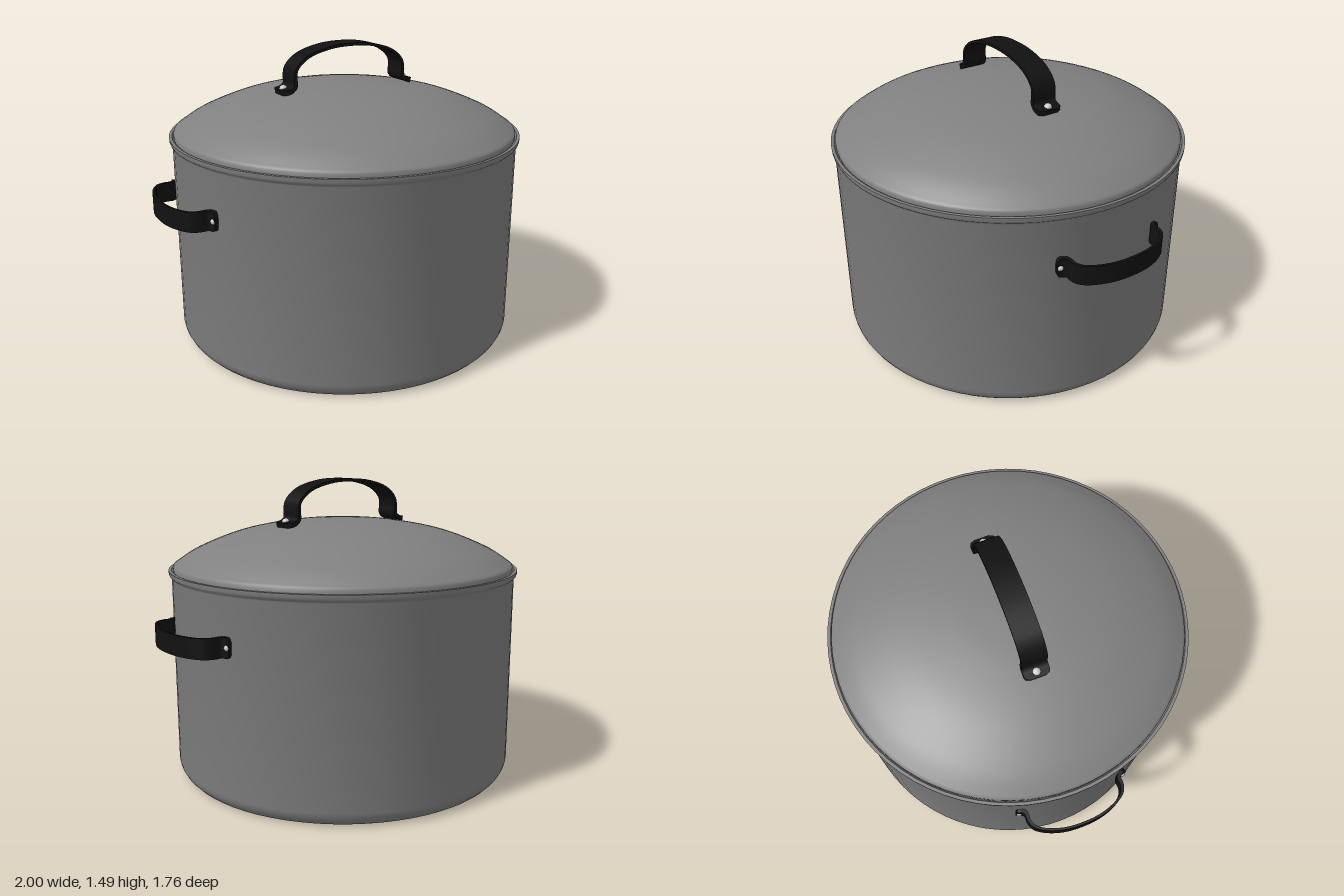
import * as THREE from 'three';
import { toCreasedNormals } from 'three/addons/utils/BufferGeometryUtils.js';

const steel = new THREE.MeshStandardMaterial({ color: 0x808080, side: THREE.DoubleSide });
const black = new THREE.MeshStandardMaterial({ color: 0x111111 });
const rivetGrey = new THREE.MeshStandardMaterial({ color: 0xcccccc });

function named(name, geometry, material) {
  const mesh = new THREE.Mesh(geometry, material);
  mesh.name = name;
  return mesh;
}

function lathe(name, points) {
  const profile = points.map(([r, y]) => new THREE.Vector2(r, y));
  return named(name, toCreasedNormals(new THREE.LatheGeometry(profile, 72), 0.6), steel);
}

// Flat strap bent along a mirrored path; half lists points from the foot to the middle
function strapHandle(name, half, width, thickness, rivet) {
  const right = half.slice(0, -1).map(([x, y]) => [-x, y]).reverse();
  const curve = new THREE.CatmullRomCurve3(
    [...half, ...right].map(([x, y]) => new THREE.Vector3(x, y, 0)));
  curve.arcLengthDivisions = 600;
  const length = curve.getLength();
  const geo = new THREE.BoxGeometry(1, 1, 1, 96, 1, 1);
  const pos = geo.attributes.position;
  const corner = width * 0.2;
  for (let i = 0; i < pos.count; i++) {
    const t = THREE.MathUtils.clamp(pos.getX(i) + 0.5, 0, 1);
    const p = curve.getPointAt(t);
    const d = curve.getTangentAt(t);
    // Feet are a little thicker and have rounded corners
    const end = Math.min(t, 1 - t) * length;
    const thick = thickness * (1 + 0.8 * Math.max(0, 1 - end / 0.16));
    const inset = Math.max(0, 1 - end / corner);
    const w = width - 2 * corner * (1 - Math.sqrt(1 - inset * inset));
    const off = pos.getY(i) * thick;
    pos.setXYZ(i, p.x - d.y * off, p.y + d.x * off, pos.getZ(i) * w);
  }
  geo.computeVertexNormals();

  const group = new THREE.Group();
  group.name = name;
  group.add(named('strap', geo, black));
  for (const s of [-1, 1]) {
    const head = named('rivet', new THREE.SphereGeometry(rivet.r, 16, 10), rivetGrey);
    head.position.set(s * rivet.x, rivet.y, 0);
    head.rotation.z = -s * rivet.tilt;
    head.scale.y = 0.8;
    group.add(head);
  }
  return group;
}

export function createModel() {
  const model = new THREE.Group();
  model.name = 'cookingPot';

  // Pot wall with bevelled base, flared rim and hollow inside
  model.add(lathe('potBody', [
    [0, 0], [0.815, 0], [0.83, 0.006], [0.848, 0.025], [0.86, 0.048], [0.865, 0.07],
    [0.865, 1.005], [0.868, 1.012], [0.875, 1.018], [0.879, 1.028], [0.88, 1.045],
    [0.865, 1.045], [0.845, 1.0], [0.845, 0.07], [0.81, 0.025], [0, 0.025],
  ]));

  // Domed lid with a short upright edge
  const dome = new THREE.SplineCurve([
    [0.853, 1.068], [0.737, 1.14], [0.525, 1.222], [0.29, 1.269], [0.1, 1.285], [0, 1.287],
  ].map(([r, y]) => new THREE.Vector2(r, y))).getPoints(30).map((p) => [Math.max(p.x, 0), p.y]);
  model.add(lathe('lid', [[0, 1.04], [0.858, 1.04], [0.858, 1.06], ...dome]));

  // Lid handle
  const lidHandle = strapHandle('lidHandle', [
    [-0.37, 1.268], [-0.325, 1.279], [-0.306, 1.298], [-0.307, 1.34], [-0.298, 1.38],
    [-0.24, 1.432], [-0.125, 1.468], [0, 1.478],
  ], 0.126, 0.014, { x: 0.345, y: 1.286, r: 0.019, tilt: 0.25 });
  lidHandle.position.z = 0.006;
  model.add(lidHandle);

  // Side handles, turned so the arch points outward from the wall
  const outward = new THREE.Matrix4().makeBasis(
    new THREE.Vector3(0, 0, 1), new THREE.Vector3(1, 0, 0), new THREE.Vector3(0, 1, 0));
  for (const [name, turn] of [['leftHandle', 0], ['rightHandle', Math.PI]]) {
    const handle = strapHandle(name, [
      [-0.284, 0.826], [-0.252, 0.838], [-0.24, 0.855], [-0.241, 0.885], [-0.228, 0.922],
      [-0.185, 0.955], [-0.1, 0.985], [0, 0.994],
    ], 0.096, 0.012, { x: 0.271, y: 0.838, r: 0.014, tilt: 0.33 });
    handle.quaternion.setFromRotationMatrix(outward);
    const side = new THREE.Group();
    side.name = name + 'Mount';
    side.add(handle);
    side.rotation.y = turn;
    side.position.set(0, 0.78, 0.01);
    model.add(side);
  }
  return model;
}
